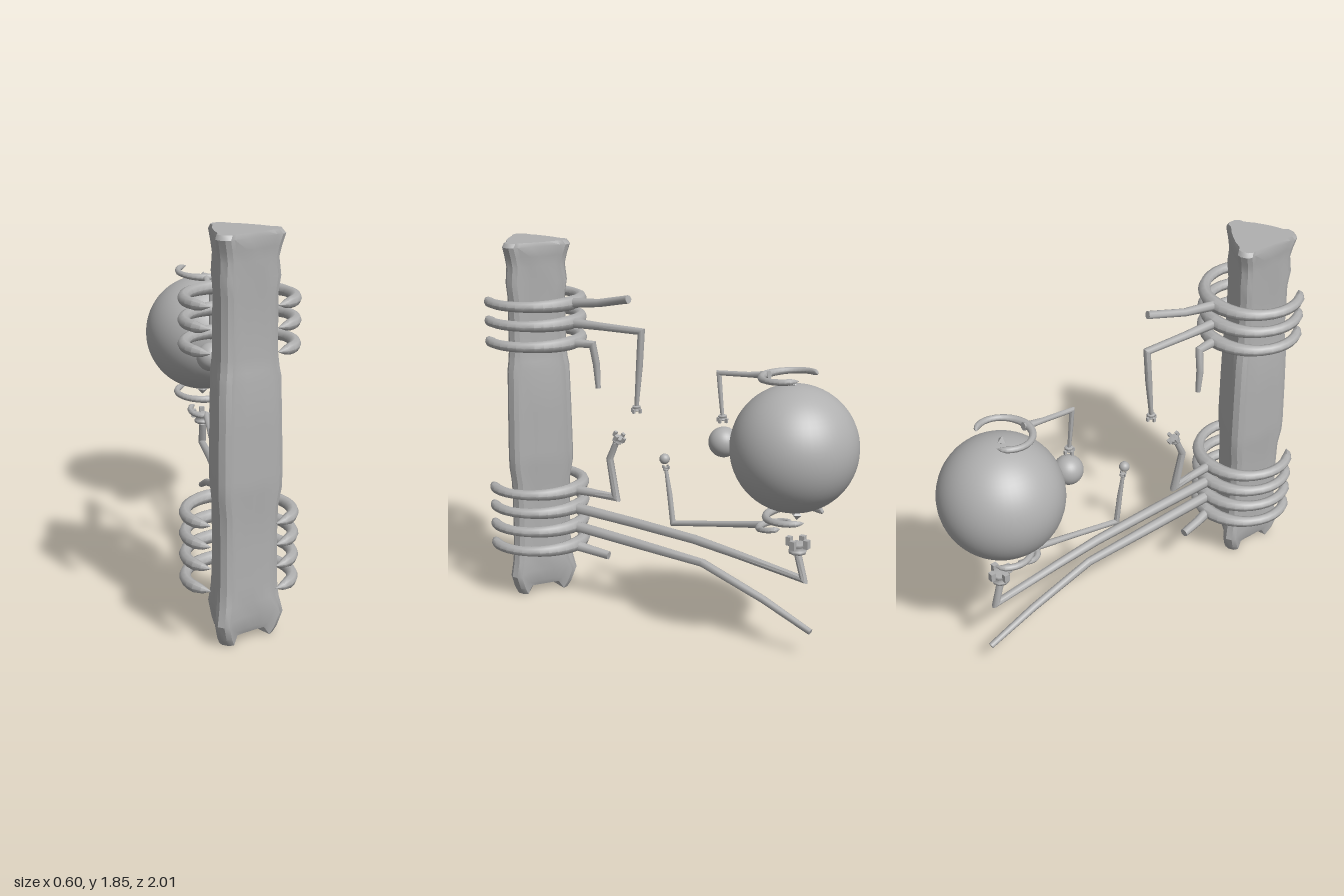
import * as THREE from 'three';
import { toCreasedNormals } from 'three/addons/utils/BufferGeometryUtils.js';

const V = (x, y, z) => new THREE.Vector3(x, y, z);

// Skin a list of equal-length loops (counter-clockwise about the path) and cap both ends
function loft(rings, crease = 0.7, capStart, capEnd) {
  const pos = [], idx = [], n = rings[0].length;
  rings.forEach(r => r.forEach(p => pos.push(p.x, p.y, p.z)));
  for (let j = 0; j < rings.length - 1; j++)
    for (let i = 0; i < n; i++) {
      const a = j * n + i, b = j * n + (i + 1) % n;
      idx.push(a, b, a + n, b, b + n, a + n);
    }
  const cap = (j, flip, centre) => {
    const c = centre || rings[j].reduce((s, p) => s.add(p), V(0, 0, 0)).divideScalar(n);
    const k = pos.length / 3;
    pos.push(c.x, c.y, c.z);
    for (let i = 0; i < n; i++) {
      const a = j * n + i, b = j * n + (i + 1) % n;
      flip ? idx.push(k, b, a) : idx.push(k, a, b);
    }
  };
  cap(0, true, capStart);
  cap(rings.length - 1, false, capEnd);
  const g = new THREE.BufferGeometry();
  g.setAttribute('position', new THREE.Float32BufferAttribute(pos, 3));
  g.setIndex(idx);
  return toCreasedNormals(g, crease);
}

// Tube along a polyline with a radius at each point
function sweep(pts, radii, ref, sides) {
  const rings = pts.map((p, i) => {
    const a = pts[Math.max(i - 1, 0)], b = pts[Math.min(i + 1, pts.length - 1)];
    const d1 = p.clone().sub(a).normalize(), d2 = b.clone().sub(p).normalize();
    const t = d1.clone().add(d2).normalize();
    const n1 = ref.clone().addScaledVector(t, -ref.dot(t)).normalize();
    const n2 = t.clone().cross(n1);
    // widen at elbows so the limb keeps its thickness
    const bend = i > 0 && i < pts.length - 1 ? 1 / Math.max(0.7, d1.dot(t)) : 1;
    return Array.from({ length: sides }, (_, k) => {
      const w = k / sides * Math.PI * 2;
      return p.clone().addScaledVector(n1, Math.cos(w) * radii[i])
        .addScaledVector(n2, Math.sin(w) * radii[i] * bend);
    });
  });
  return loft(rings, 0.8);
}

// Open ring closed towards +z * face, with tapering pointed tips
function clawRing(R, tube, back, face, spread = 2.42) {
  const pts = [], radii = [], N = 28;
  for (let i = 0; i <= N; i++) {
    const f = i / N * 2 - 1, w = f * spread, e = Math.abs(f);
    const r = R * (1 - 0.1 * e ** 5);
    pts.push(V(Math.sin(w) * r, 0, face * Math.cos(w) * r));
    const tip = e > 0.86 ? Math.max(0.08, Math.sqrt((1 - e) / 0.14)) : 1;
    radii.push((tube + (back - tube) * Math.max(0, 1 - e * 2.2)) * tip);
  }
  return sweep(pts, radii, V(0, 1, 0), 8);
}

// Triangular pillar section: a raised rib on each corner and bulging panels between
function pillarRing(y, r, panel, rise = 0) {
  const out = [];
  for (let c = 0; c < 3; c++) {
    const a = c * Math.PI * 2 / 3, ca = Math.cos(a), sa = Math.sin(a);
    const add = (u, v, dy = 0) => out.push(V(u * ca - v * sa, y + dy, 0.83 - (u * sa + v * ca)));
    add(r - 0.04, -0.042, rise);
    add(r - 0.015, -0.036);
    add(r, -0.016);
    add(r, 0.016);
    add(r - 0.015, 0.036);
    add(r - 0.04, 0.042, rise);
    for (const w of [0.66, Math.PI / 3, 1.43]) {
      const k = w === Math.PI / 3 ? panel : panel * 1.07;
      add(Math.cos(w) * k, Math.sin(w) * k, rise);
    }
  }
  return out;
}

export function createModel() {
  const model = new THREE.Group();
  const grey = new THREE.MeshStandardMaterial({ color: 0xb0b0b0 });
  grey.name = 'stone grey';
  const add = (name, geo, x = 0, y = 0, z = 0, parent = model) => {
    const m = new THREE.Mesh(geo, grey);
    m.name = name;
    m.position.set(x, y, z);
    parent.add(m);
    return m;
  };

  // Pillar: height, rib radius, panel radius
  const profile = [
    [0.015, 0.15, 0.09, 0.04], [0.05, 0.172, 0.1, 0.03], [0.12, 0.198, 0.105, 0.02],
    [0.2, 0.178, 0.11], [0.28, 0.17, 0.108], [0.45, 0.168, 0.108], [0.62, 0.172, 0.108],
    [0.71, 0.188, 0.118], [0.78, 0.19, 0.118], [1.0, 0.186, 0.118], [1.22, 0.18, 0.118],
    [1.26, 0.172, 0.112], [1.32, 0.165, 0.108], [1.58, 0.163, 0.105], [1.66, 0.175, 0.112],
    [1.74, 0.166, 0.112], [1.79, 0.178, 0.116], [1.84, 0.194, 0.12], [1.86, 0.178, 0.115],
  ];
  add('pillar', loft(profile.map(p => pillarRing(...p)), 0.6, V(0, 0.08, 0.83), V(0, 1.86, 0.83)));

  // Gripping rings around the pillar
  const ringGeo = clawRing(0.242, 0.026, 0.037, -1);
  [1.563, 1.467, 1.362, 0.595, 0.497, 0.397, 0.292].forEach((y, i) =>
    add('pillarRing' + (i + 1), ringGeo, 0, y, 0.83));

  // Arms as [x, y, z, radius]
  const limb = (name, p) =>
    add(name, sweep(p.map(q => V(q[0], q[1], q[2])), p.map(q => q[3]), V(1, 0, 0), 8));
  limb('upperArmHigh', [[0, 1.563, 0.6, 0.026], [0.015, 1.588, 0.4, 0.02], [0.048, 1.635, 0.2, 0.02]]);
  limb('upperArmMiddle', [[0, 1.465, 0.6, 0.026], [-0.002, 1.468, 0.4, 0.02], [0, 1.473, 0.16, 0.018],
    [0, 1.3, 0.172, 0.017], [0, 1.1, 0.19, 0.011]]);
  limb('upperArmLow', [[0, 1.362, 0.6, 0.026], [-0.02, 1.365, 0.47, 0.019], [-0.04, 1.26, 0.462, 0.018],
    [-0.04, 1.14, 0.453, 0.013]]);
  limb('lowerArmTop', [[0, 0.595, 0.6, 0.026], [-0.01, 0.594, 0.45, 0.021], [-0.02, 0.592, 0.335, 0.022],
    [-0.025, 0.79, 0.375, 0.018], [-0.025, 0.88, 0.335, 0.016]]);
  limb('lowerArmLong', [[0, 0.497, 0.6, 0.028], [0, 0.488, 0.2, 0.026], [0, 0.475, -0.15, 0.024],
    [0, 0.448, -0.4, 0.021], [0, 0.402, -0.765, 0.02], [0, 0.52, -0.732, 0.018]]);
  limb('lowerArmReaching', [[0, 0.397, 0.6, 0.028], [0, 0.38, 0.2, 0.026], [0, 0.362, -0.2, 0.021],
    [0, 0.25, -0.55, 0.019], [0, 0.145, -0.81, 0.015]]);
  limb('lowerArmStub', [[0, 0.292, 0.6, 0.028], [-0.02, 0.275, 0.5, 0.024], [-0.035, 0.262, 0.395, 0.022]]);
  limb('orbArmUpper', [[0, 1.362, -0.56, 0.02], [0, 1.348, -0.45, 0.013], [0, 1.333, -0.285, 0.012],
    [0, 1.24, -0.294, 0.011], [0, 1.13, -0.306, 0.009]]);
  limb('orbArmLower', [[0, 0.628, -0.53, 0.018], [0, 0.585, -0.3, 0.015], [0, 0.533, -0.025, 0.014],
    [0, 0.68, -0.006, 0.013], [0, 0.8, 0.015, 0.009]]);

  // Gripping hands: a spool-shaped palm with small fingers
  const palmGeo = new THREE.LatheGeometry([[0, -0.4], [0.55, -0.35], [0.6, -0.15], [0.35, 0],
    [0.6, 0.15], [0.5, 0.3], [0, 0.25]].map(p => new THREE.Vector2(...p)), 8);
  const fingerGeo = new THREE.BoxGeometry(0.32, 0.55, 0.36);
  const hand = (name, x, y, z, s, tilt) => {
    const g = new THREE.Group();
    g.name = name;
    g.position.set(x, y, z);
    g.scale.setScalar(s);
    g.rotation.x = tilt;
    add('palm', palmGeo, 0, 0, 0, g);
    for (let i = 0; i < 4; i++) {
      const w = i * Math.PI / 2;
      const f = add('finger', fingerGeo, Math.cos(w) * 0.62, 0.32, Math.sin(w) * 0.62, g);
      f.rotation.y = -w;
    }
    model.add(g);
  };
  hand('largeHand', 0, 0.555, -0.73, 0.076, 0);
  hand('raisedHand', -0.025, 0.9, 0.322, 0.046, -0.5);
  hand('hangingHand', 0, 1.086, 0.191, 0.036, Math.PI);
  hand('orbHand', 0, 1.118, -0.307, 0.036, Math.PI);
  hand('beadHand', 0, 0.808, 0.016, 0.025, 0);

  // Spheres
  add('largeOrb', new THREE.SphereGeometry(0.3, 48, 32), 0, 1.035, -0.7);
  add('smallOrb', new THREE.SphereGeometry(0.073, 32, 20), 0, 1.0, -0.315);
  add('bead', new THREE.SphereGeometry(0.026, 20, 14), 0, 0.856, 0.024);

  // Pole studs and rings of the large orb
  const stud = new THREE.OctahedronGeometry(0.026);
  add('topStud', stud, 0, 1.336, -0.677);
  add('bottomStud', stud, 0, 0.715, -0.72);
  add('orbTopRing', clawRing(0.135, 0.015, 0.02, 1, 2.4), 0, 1.372, -0.672).rotation.x = 0.08;
  add('orbBottomRing', clawRing(0.14, 0.016, 0.02, 1, 2.4), 0, 0.71, -0.715).rotation.x = 0.07;
  add('armEndRing', clawRing(0.08, 0.014, 0.018, 1, 2.4), 0, 0.638, -0.607).rotation.x = 0.16;

  return model;
}
